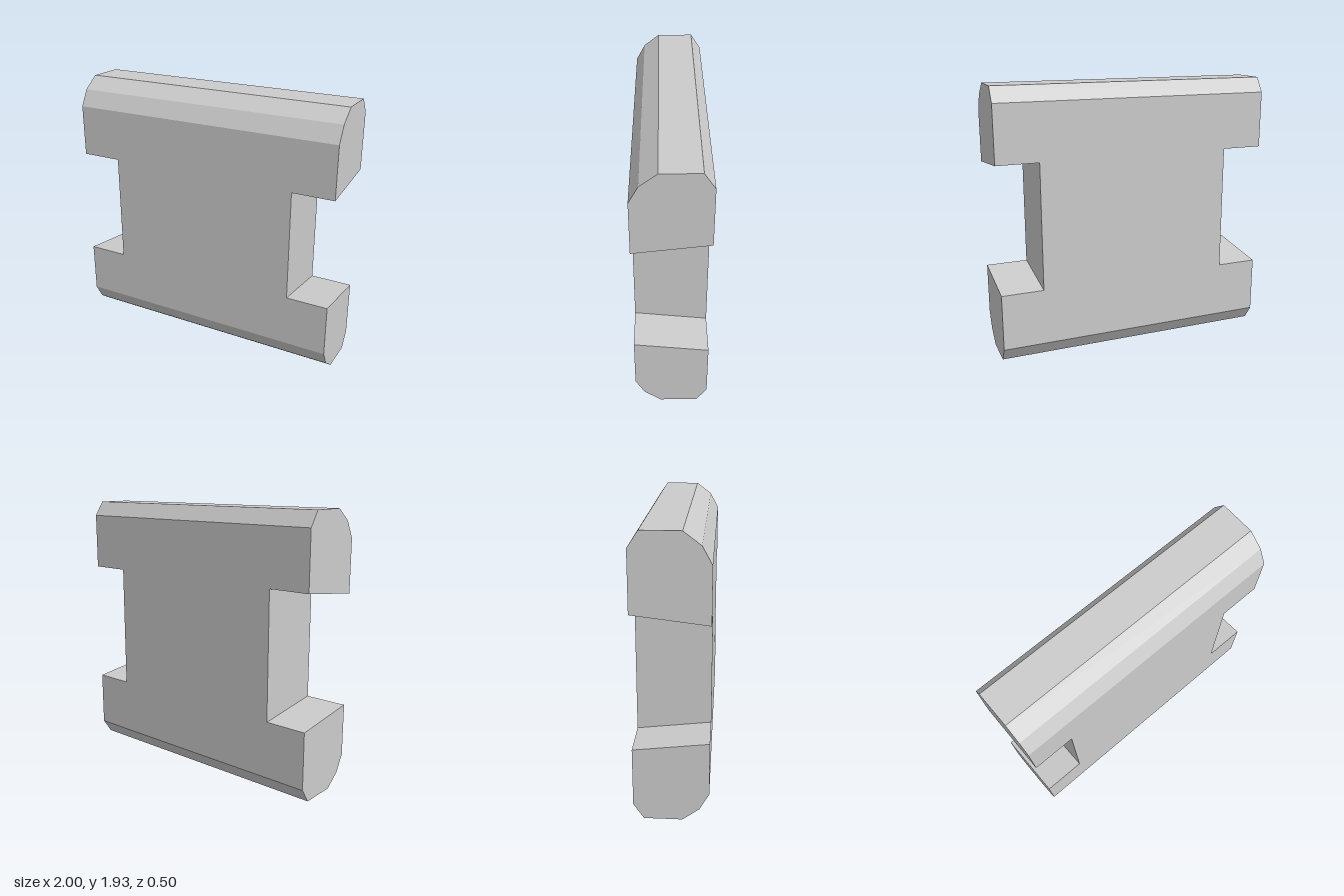
import * as THREE from 'three';

const MID = 0.965; // height of the horizontal mirror plane

// Slices from back to front: [z, half height of the block]
const SLICES = [
  [-0.25, 0.86],
  [-0.18, 0.965],
  [0.075, 0.965],
  [0.187, 0.88],
  [0.25, 0.765],
];

// Notch half height narrows evenly towards the front
const notchHalf = (z) => 0.425 - 0.12 * z;

export function createModel() {
  const group = new THREE.Group();
  group.name = 'notchedBlock';

  // H outline; |y| = 2 marks the outer edge, |y| = 1 the notch edge
  const outline = new THREE.Shape([
    [-1, -2], [1, -2], [1, -1], [0.7, -1], [0.7, 1], [1, 1],
    [1, 2], [-1, 2], [-1, 1], [-0.7, 1], [-0.7, -1], [-1, -1],
  ].map(([x, y]) => new THREE.Vector2(x, y)));

  const steps = SLICES.length - 1;
  const geometry = new THREE.ExtrudeGeometry(outline, { depth: steps, steps, bevelEnabled: false });

  // Move every layer to its slice, giving chamfered edges and sloped notches
  const pos = geometry.attributes.position;
  for (let i = 0; i < pos.count; i++) {
    const [z, outerHalf] = SLICES[Math.round(pos.getZ(i))];
    const y = pos.getY(i);
    const half = Math.abs(y) > 1.5 ? outerHalf : notchHalf(z);
    pos.setY(i, MID + Math.sign(y) * half);
    pos.setZ(i, z);
  }
  geometry.computeVertexNormals();

  const material = new THREE.MeshStandardMaterial({ color: 0xcccccc, flatShading: true });
  const block = new THREE.Mesh(geometry, material);
  block.name = 'block';
  group.add(block);
  return group;
}
